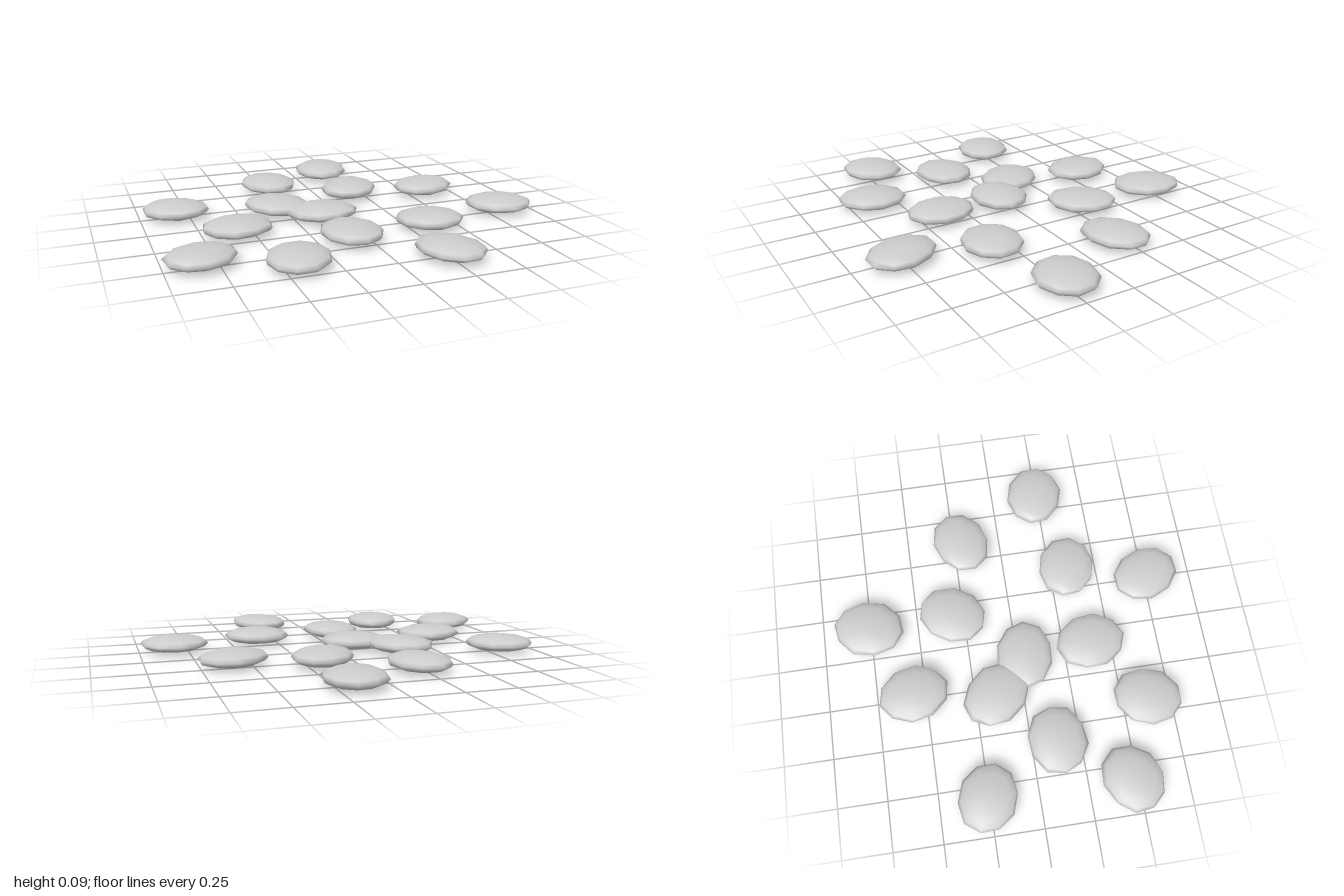
import * as THREE from 'three';
import { mergeVertices } from 'three/addons/utils/BufferGeometryUtils.js';

// Centre x, centre z, half extents along and across, turn in degrees
const PEBBLES = [
  [0.16, -0.755, 0.182, 0.152, 75],
  [-0.23, -0.56, 0.178, 0.148, 103],
  [0.17, -0.31, 0.182, 0.15, 58],
  [-0.815, -0.255, 0.174, 0.147, -20],
  [0.59, -0.21, 0.178, 0.146, 20],
  [-0.3, -0.14, 0.182, 0.148, -50],
  [-0.107, 0.038, 0.178, 0.146, -5],
  [-0.58, 0.13, 0.176, 0.15, 5],
  [0.82, 0.235, 0.176, 0.147, -15],
  [0.36, 0.34, 0.172, 0.15, -15],
  [-0.085, 0.39, 0.178, 0.148, 95],
  [-0.83, 0.47, 0.174, 0.148, 25],
  [-0.425, 0.625, 0.178, 0.148, 70],
  [0.255, 0.755, 0.18, 0.142, 115],
];

// Small seeded random number source
function seeded(seed) {
  let s = seed;
  return () => (s = (s * 16807) % 2147483647) / 2147483647;
}

// Flattened ten-sided ellipsoid with slightly uneven corners and smooth normals
function pebbleGeometry(rx, rz, seed) {
  const rand = seeded(seed);
  let geo = new THREE.SphereGeometry(1, 10, 8);
  geo.deleteAttribute('uv');
  geo.deleteAttribute('normal');
  geo = mergeVertices(geo, 1e-4);
  const pos = geo.attributes.position;
  for (let i = 0; i < pos.count; i++) {
    const wide = 1.01 + (rand() - 0.5) * 0.07;
    const tall = 1 + (rand() - 0.5) * 0.06;
    pos.setXYZ(i, pos.getX(i) * rx * wide, pos.getY(i) * 0.043 * tall, pos.getZ(i) * rz * wide);
  }
  geo.computeVertexNormals();
  return geo;
}

export function createModel() {
  const group = new THREE.Group();
  group.name = 'pebbles';
  const stone = new THREE.MeshStandardMaterial({ color: 0xcccccc });
  stone.name = 'pale grey stone';

  PEBBLES.forEach(([x, z, rx, rz, turn], i) => {
    const pebble = new THREE.Mesh(pebbleGeometry(rx, rz, 7919 * (i + 3)), stone);
    pebble.name = `pebble${i + 1}`;
    pebble.position.set(x, 0.047 + (i % 3) * 0.001, z);
    pebble.rotation.y = THREE.MathUtils.degToRad(turn);
    group.add(pebble);
  });
  return group;
}
